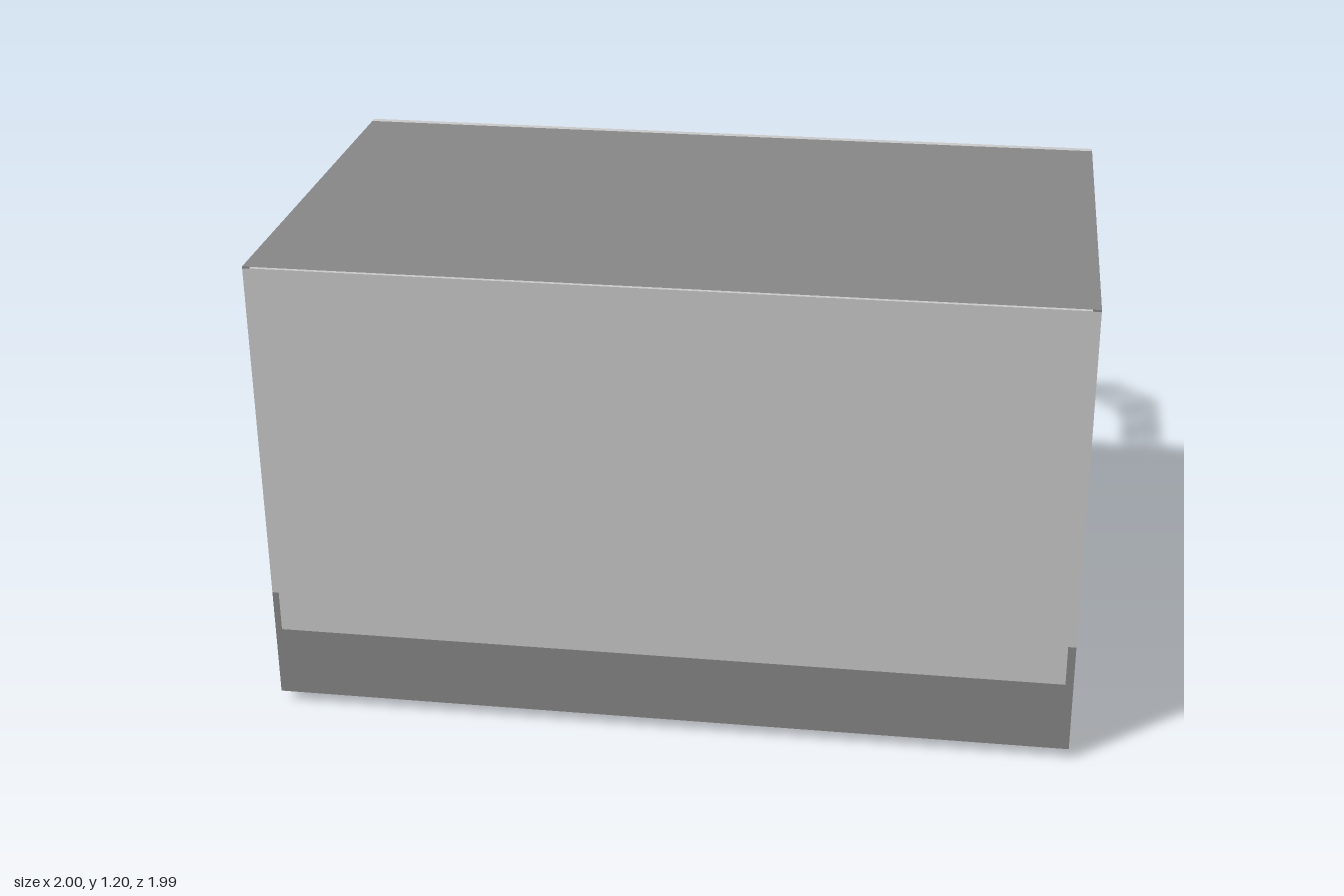
import * as THREE from 'three';

const light = new THREE.MeshStandardMaterial({ color: 0xcccccc });
const dark = new THREE.MeshStandardMaterial({ color: 0x888888 });

// Box given by its lower and upper corners
function block(parent, name, mat, [x0, y0, z0], [x1, y1, z1]) {
  const mesh = new THREE.Mesh(new THREE.BoxGeometry(x1 - x0, y1 - y0, z1 - z0), mat);
  mesh.position.set((x0 + x1) / 2, (y0 + y1) / 2, (z0 + z1) / 2);
  mesh.name = name;
  parent.add(mesh);
  return mesh;
}

// Extruded outline in the xy plane, from z0 to z0 + depth
function extrude(parent, name, mat, points, z0, depth) {
  const shape = new THREE.Shape(points.map(([x, y]) => new THREE.Vector2(x, y)));
  const geo = new THREE.ExtrudeGeometry(shape, { depth, bevelEnabled: false });
  const mesh = new THREE.Mesh(geo, mat);
  mesh.position.z = z0;
  mesh.name = name;
  parent.add(mesh);
}

function createHouse() {
  const house = new THREE.Group();
  house.name = 'house';

  // Open base tray
  const tray = new THREE.Group();
  tray.name = 'baseTray';
  block(tray, 'trayFloor', dark, [-1, 0.03, -0.135], [1, 0.07, 0.985]);
  block(tray, 'trayFront', dark, [-0.98, 0.07, 0.965], [0.98, 0.32, 0.985]);
  block(tray, 'trayBack', dark, [-0.98, 0.07, -0.135], [0.98, 0.32, -0.12]);
  for (const s of [-1, 1]) {
    const [a, b] = s < 0 ? [-1, -0.98] : [0.98, 1];
    block(tray, 'traySide', dark, [a, 0.07, -0.135], [b, 0.32, 0.985]);
    block(house, 'sideWall', light, [a, 0.32, -0.135], [b, 1.195, 0.985]);
  }
  house.add(tray);

  // Front panel and roof
  block(house, 'frontPanel', light, [-0.98, 0.22, 0.985], [0.98, 1.2, 0.995]);
  block(house, 'roof', dark, [-1, 1.195, -0.135], [1, 1.2, 0.985]);

  // Back wall with a stepped doorway cut up from its lower edge
  extrude(house, 'backWall', light, [
    [-1, 0.025], [-0.2, 0.025], [-0.2, 0.315], [-0.14, 0.315], [-0.14, 0.65],
    [0.14, 0.65], [0.14, 0.315], [0.2, 0.315], [0.2, 0.025], [1, 0.025],
    [1, 1.2], [-1, 1.2],
  ], -0.155, 0.02);

  // Wedge feet
  extrude(house, 'leftFoot', dark, [[0.26, 0.032], [0.283, 0], [0.32, 0.032]], 0.23, 0.12);
  extrude(house, 'rightFoot', dark, [[-0.32, 0.032], [-0.283, 0], [-0.26, 0.032]], 0.23, 0.12);
  return house;
}

function createFence() {
  const fence = new THREE.Group();
  fence.name = 'fence';
  const railHeights = [0.35, 0.39, 0.43, 0.468, 0.51];

  for (const s of [-1, 1]) {
    // Posts along the side, then along the back
    const posts = [
      ...[-0.167, -0.345, -0.52, -0.697, -0.875].map((z) => [s * 0.98, z]),
      ...[0.865, 0.685, 0.51, 0.33].map((x) => [s * x, -0.985]),
    ];
    for (const [x, z] of posts) {
      block(fence, 'fencePost', dark,
        [x - 0.009, 0.325, z - 0.009], [x + 0.009, 0.52, z + 0.009]);
    }
    // Rails follow the path round the cut corner up to the gate
    const path = [[s * 0.98, -0.158], [s * 0.98, -0.875], [s * 0.865, -0.985], [s * 0.16, -0.985]];
    for (let i = 0; i < path.length - 1; i++) {
      const [ax, az] = path[i], [bx, bz] = path[i + 1];
      const geo = new THREE.BoxGeometry(0.011, 0.011, Math.hypot(bx - ax, bz - az));
      for (const y of railHeights) {
        const rail = new THREE.Mesh(geo, dark);
        rail.name = 'fenceRail';
        rail.position.set((ax + bx) / 2, y, (az + bz) / 2);
        rail.rotation.y = Math.atan2(bx - ax, bz - az);
        fence.add(rail);
      }
    }
  }

  // Solid gate panel in the middle of the back run
  block(fence, 'gate', dark, [-0.165, 0.325, -0.993], [0.165, 0.52, -0.979]);
  return fence;
}

export function createModel() {
  const model = new THREE.Group();
  model.name = 'hutchWithRun';
  model.add(createHouse(), createFence());
  return model;
}
